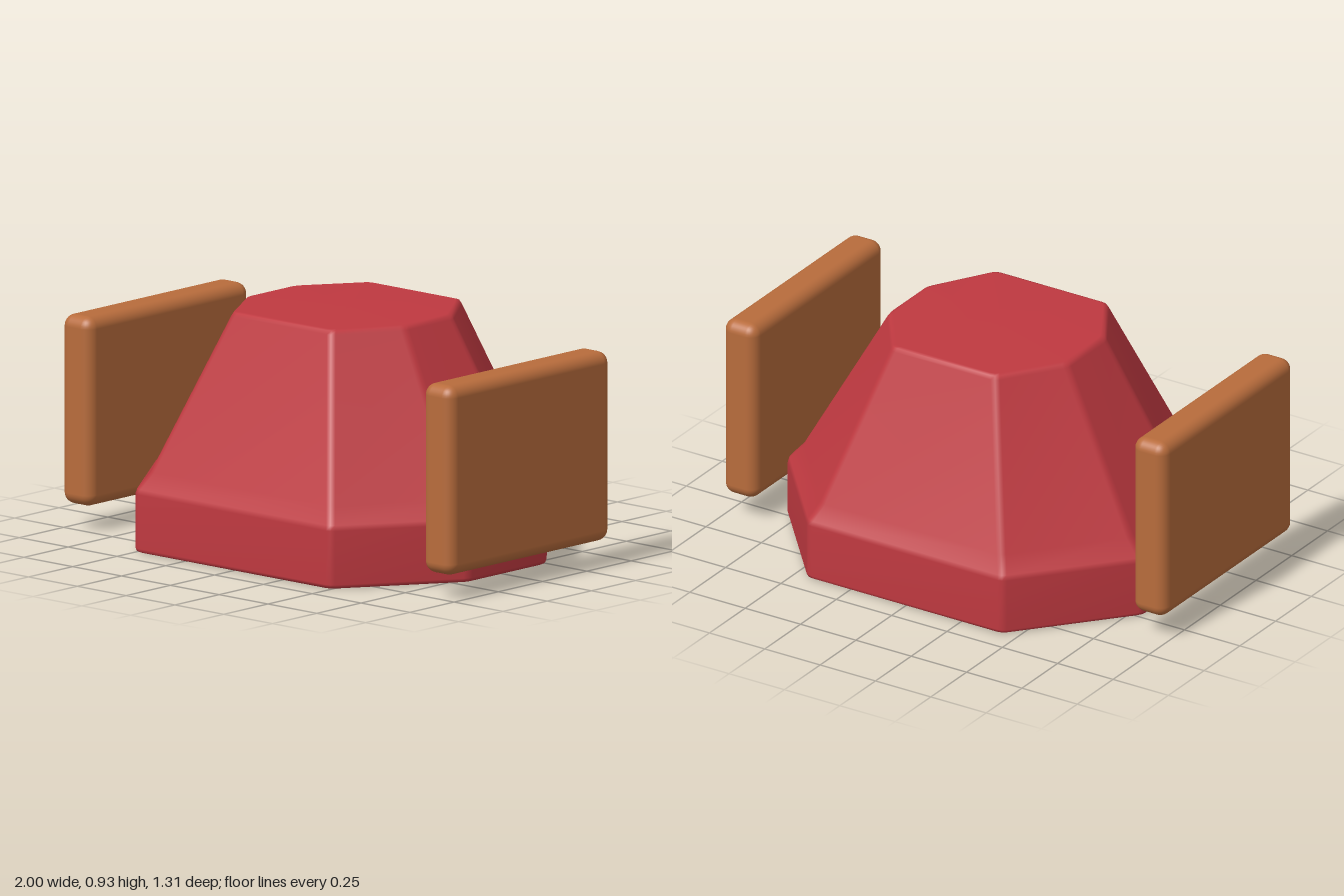
import * as THREE from 'three';
import { RoundedBoxGeometry } from 'three/addons/geometries/RoundedBoxGeometry.js';

// Half outlines (x, z), running from front to back along the +x side
const BASE = [[0.5, 0.65], [0.805, 0.2], [0.805, -0.235], [0.44, -0.66]];
const TOP = [[0.25, 0.37], [0.4, 0.12], [0.4, -0.145], [0.23, -0.385]];

const mirrored = (half) => [...half, ...half.slice().reverse().map(([x, z]) => [-x, z])];

// Octagon between the two outlines, moved inwards and with softened corners
function outline(t, inset) {
  const corners = mirrored(BASE.map(([x, z], i) => [
    THREE.MathUtils.lerp(x, TOP[i][0], t),
    THREE.MathUtils.lerp(z, TOP[i][1], t),
  ])).map(([x, z]) => {
    const v = new THREE.Vector2(x, z);
    return v.setLength(v.length() - inset);
  });
  const points = [];
  corners.forEach((corner, i) => {
    const before = corners[(i + 7) % 8].clone().sub(corner).setLength(0.02).add(corner);
    const after = corners[(i + 1) % 8].clone().sub(corner).setLength(0.02).add(corner);
    points.push(...new THREE.QuadraticBezierCurve(before, corner, after).getPoints(2));
  });
  return points;
}

// Loft through the rings, closed at both ends
function bodyGeometry() {
  const rings = [ // height, blend from base to top outline, inset
    [0, 0, 0.014], [0.005, 0, 0.004], [0.016, 0, 0],
    [0.225, 0, 0], [0.245, 0.02, 0], [0.31, 0.16, 0],
    [0.908, 0.975, 0], [0.922, 0.99, 0.004], [0.926, 1, 0.016],
  ];
  const positions = [];
  const index = [];
  let n = 0;
  for (const [y, t, inset] of rings) {
    const points = outline(t, inset);
    n = points.length;
    for (const p of points) positions.push(p.x, y, p.y);
  }
  const last = (rings.length - 1) * n;
  const bottom = rings.length * n;
  positions.push(0, 0, 0, 0, 0.926, 0);
  for (let i = 0; i < n; i++) {
    const j = (i + 1) % n;
    for (let r = 0; r < last; r += n) {
      index.push(r + i, r + j, r + n + j, r + i, r + n + j, r + n + i);
    }
    index.push(bottom, j, i, bottom + 1, last + i, last + j);
  }
  const geometry = new THREE.BufferGeometry();
  geometry.setAttribute('position', new THREE.Float32BufferAttribute(positions, 3));
  geometry.setIndex(index);
  geometry.computeVertexNormals();
  return geometry;
}

export function createModel() {
  const red = new THREE.MeshStandardMaterial({ color: 0xbf3940 });
  red.name = 'red';
  const brown = new THREE.MeshStandardMaterial({ color: 0xb86c3c });
  brown.name = 'brown';

  const model = new THREE.Group();
  model.name = 'model';

  // Tapered eight-sided body
  const body = new THREE.Mesh(bodyGeometry(), red);
  body.name = 'body';
  model.add(body);

  // Separate upright slabs on both sides
  const slab = new RoundedBoxGeometry(0.15, 0.735, 0.915, 4, 0.045);
  for (const [name, side] of [['leftPanel', 1], ['rightPanel', -1]]) {
    const panel = new THREE.Mesh(slab, brown);
    panel.name = name;
    panel.position.set(side * 0.925, 0.465, 0.064);
    model.add(panel);
  }
  return model;
}
